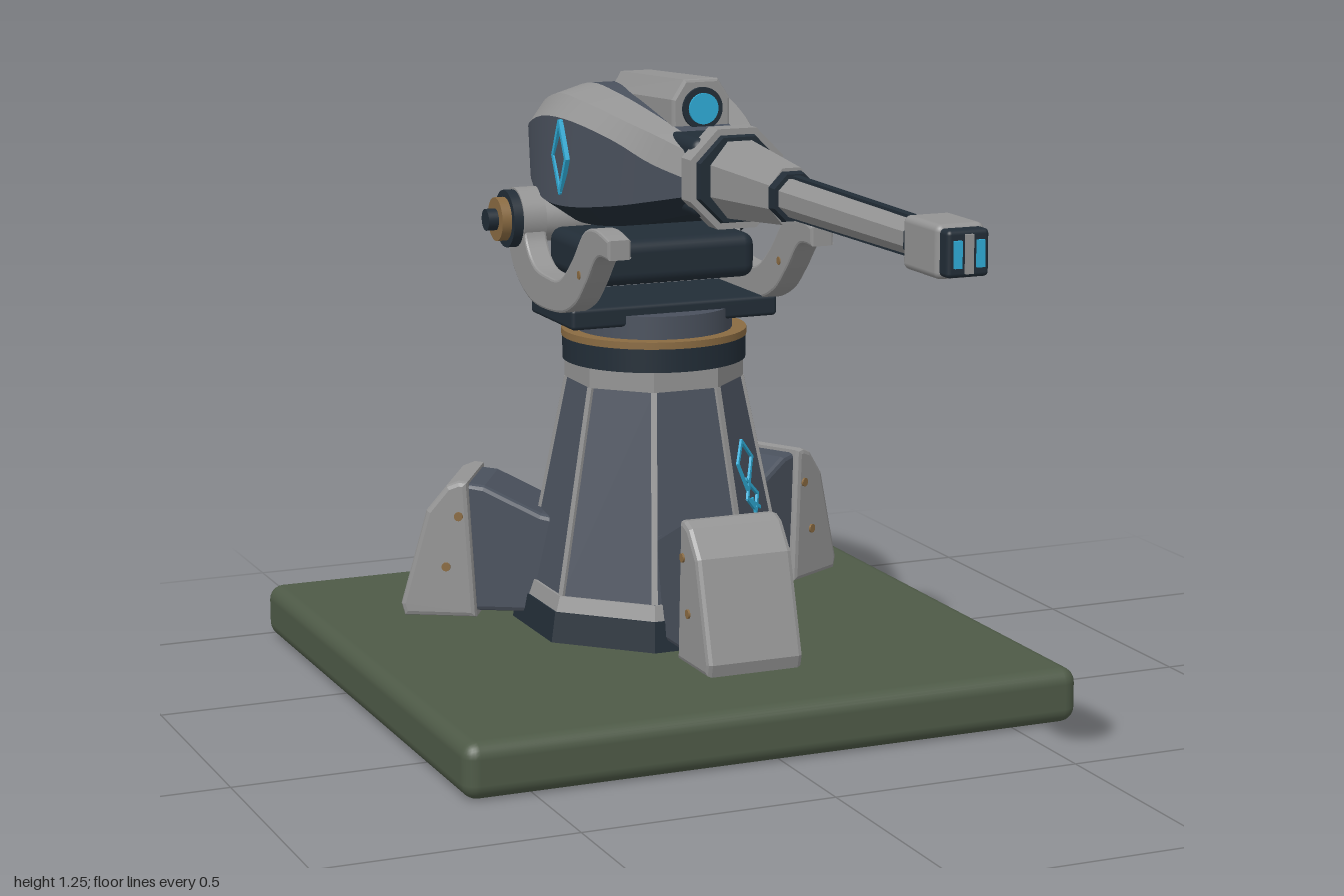
import * as THREE from 'three';
import { mergeGeometries } from 'three/addons/utils/BufferGeometryUtils.js';
import { RoundedBoxGeometry } from 'three/addons/geometries/RoundedBoxGeometry.js';

const mat = (name, color, side = THREE.FrontSide) => {
  const m = new THREE.MeshStandardMaterial({ color, side });
  m.name = name;
  return m;
};

export function createModel() {
  const root = new THREE.Group();
  root.name = 'turret';
  const grey = mat('light grey armour', 0x949494);
  const slate = mat('slate armour', 0x4a515d);
  const navy = mat('dark navy metal', 0x222d37);
  const gold = mat('bronze', 0x8a6b42);
  const cyan = mat('cyan glow', 0x2fabd6);
  const green = mat('green base', 0x4e5a47);
  const CZ = -0.365; // tower axis
  const BY = 1.083; // barrel axis height

  const add = (name, geo, material, x = 0, y = 0, z = 0, parent = root) => {
    const m = new THREE.Mesh(geo, material);
    m.name = name;
    m.position.set(x, y, z);
    parent.add(m);
    return m;
  };
  const flat = (g) => {
    const f = g.toNonIndexed();
    f.computeVertexNormals();
    return f;
  };
  // octagonal prism with flats on the axes; radii are measured to the flats
  const oct = (top, bottom, h) => {
    const k = 1 / Math.cos(Math.PI / 8);
    return flat(new THREE.CylinderGeometry(top * k, bottom * k, h, 8).rotateY(Math.PI / 8));
  };
  const box = (w, h, d) => new THREE.BoxGeometry(w, h, d);
  const rbox = (w, h, d, r) => new RoundedBoxGeometry(w, h, d, 3, r);
  const cyl = (r, h, n = 32) => new THREE.CylinderGeometry(r, r, h, n);
  const cylX = (r, h) => cyl(r, h).rotateZ(Math.PI / 2);
  const cylZ = (r, h) => cyl(r, h).rotateX(Math.PI / 2);
  // (z, y) outline extruded across x, centred
  const slab = (shape, width, bevel) => new THREE.ExtrudeGeometry(shape, {
    depth: width - 2 * bevel, bevelEnabled: bevel > 0, bevelSize: bevel, bevelThickness: bevel,
    bevelOffset: -bevel, bevelSegments: 2, curveSegments: 40,
  }).translate(0, 0, -width / 2 + bevel).rotateY(-Math.PI / 2);
  const poly = (pts) => new THREE.Shape(pts.map((p) => new THREE.Vector2(...p)));
  // thin bars following a polyline in the xy plane
  const lines = (paths, w, depth) => mergeGeometries(paths.flatMap((p) => p.slice(1).map(([x, y], i) => {
    const [px, py] = p[i];
    return box(Math.hypot(x - px, y - py) + w * 0.6, w, depth)
      .rotateZ(Math.atan2(y - py, x - px)).translate((x + px) / 2, (y + py) / 2, 0);
  })));

  // base slab
  add('baseSlab', rbox(1.27, 0.11, 1.27, 0.03), green, 0, 0.055, CZ);

  // octagonal tower
  add('towerFoot', oct(0.258, 0.268, 0.06), navy, 0, 0.16, CZ);
  add('towerFootTrim', oct(0.246, 0.255, 0.03), grey, 0, 0.205, CZ);
  add('towerBody', oct(0.163, 0.241, 0.41), slate, 0, 0.425, CZ);
  add('towerCollar', oct(0.166, 0.166, 0.042), grey, 0, 0.65, CZ);
  const k8 = 1 / Math.cos(Math.PI / 8);
  for (let i = 0; i < 8; i++) {
    const seam = new THREE.Group();
    seam.name = 'towerSeam';
    seam.position.z = CZ;
    seam.rotation.y = (i + 0.5) * Math.PI / 4;
    root.add(seam);
    const bar = add('seamStrip', box(0.012, 0.417, 0.008), grey, 0, 0.425, 0.202 * k8, seam);
    bar.rotation.x = -Math.atan(0.078 * k8 / 0.41);
  }
  add('bearing', cyl(0.184, 0.05, 48), navy, 0, 0.695, CZ);
  add('bearingRing', cyl(0.186, 0.014, 48), gold, 0, 0.724, CZ);
  add('neck', cyl(0.157, 0.05, 48), slate, 0, 0.752, CZ);

  // glowing rune on two opposite diagonal faces
  const rune = lines([
    [[0, 0.085], [0.038, 0.045], [-0.012, -0.012], [-0.038, 0.045], [0, 0.085]],
    [[0.036, 0.045], [-0.02, -0.03], [0.012, -0.06], [0.034, -0.03], [-0.012, 0.008]],
    [[-0.02, -0.03], [0.034, -0.058]],
    [[0.004, -0.035], [0.018, -0.125]],
  ], 0.007, 0.006);
  for (const a of [Math.PI / 4, Math.PI * 5 / 4]) {
    const g = new THREE.Group();
    g.name = 'towerRune';
    g.position.z = CZ;
    g.rotation.y = a;
    root.add(g);
    add('runeLines', rune, cyan, 0, 0.425, 0.204, g).rotation.x = -Math.atan(0.078 / 0.41);
  }

  // three buttress legs
  const legBody = slab(poly([[0.15, 0.15], [0.36, 0.15], [0.378, 0.415], [0.335, 0.41], [0.22, 0.355], [0.15, 0.34]]), 0.17, 0.01);
  const legCap = slab(poly([[0.352, 0.14], [0.5, 0.14], [0.507, 0.165], [0.452, 0.36], [0.41, 0.412], [0.385, 0.422], [0.367, 0.42]]), 0.2, 0.01);
  for (let i = 0; i < 3; i++) {
    const leg = new THREE.Group();
    leg.name = 'leg';
    leg.position.z = CZ;
    leg.rotation.y = i * Math.PI * 2 / 3;
    root.add(leg);
    add('legBody', legBody, slate, 0, 0, 0, leg);
    add('legCap', legCap, grey, 0, 0, 0, leg);
    for (const s of [-1, 1]) for (const [r, y] of [[0.385, 0.35], [0.412, 0.245]])
      add('legBolt', cylX(0.009, 0.008), gold, s * 0.1, y, r, leg);
  }

  // yoke with curved side arms and pivots
  add('yokePlate', rbox(0.44, 0.042, 0.23, 0.008), navy, 0, 0.776, CZ);
  add('yokeBlock', rbox(0.35, 0.09, 0.25, 0.025), navy, 0, 0.88, -0.375);
  add('yokeCrossbar', cylX(0.045, 0.38), grey, 0, 0.935, -0.53);
  const arm = new THREE.Shape();
  const start = [-0.02, 0.93];
  arm.moveTo(...start);
  const curve = (pts) => arm.splineThru(pts.map((p) => new THREE.Vector2(...p)));
  curve([[-0.08, 0.925], [-0.14, 0.865], [-0.2, 0.815], [-0.29, 0.786], [-0.44, 0.786], [-0.54, 0.84], [-0.585, 0.93]]);
  arm.lineTo(-0.48, 0.96);
  curve([[-0.465, 0.9], [-0.42, 0.86], [-0.35, 0.85], [-0.28, 0.855], [-0.215, 0.9], [-0.15, 0.965], [-0.09, 0.98], [-0.02, 0.968]]);
  const armGeo = slab(arm, 0.048, 0.005);
  for (const s of [-1, 1]) {
    const side = new THREE.Group();
    side.name = s > 0 ? 'leftYokeArm' : 'rightYokeArm';
    root.add(side);
    add('arm', armGeo, grey, s * 0.211, 0, 0, side);
    add('armEye', cylX(0.062, 0.048), grey, s * 0.211, 0.94, -0.53, side);
    add('armBolt', cylX(0.008, 0.052), gold, s * 0.211, 0.88, -0.17, side);
    add('pivotFlange', cylX(0.058, 0.02), navy, s * 0.245, 0.94, -0.53, side);
    add('pivotRing', cylX(0.044, 0.022), gold, s * 0.264, 0.94, -0.53, side);
    add('pivotPin', cylX(0.022, 0.024), navy, s * 0.284, 0.94, -0.53, side);
  }

  // gun head: edge rows (x list, y list) along shared stations, from top centre to bottom centre
  const zs = [0.02, -0.1, -0.2, -0.35, -0.47, -0.6, -0.69, -0.725];
  const topY = [1.135, 1.16, 1.18, 1.205, 1.213, 1.18, 1.125, 1.08];
  const lowY = [1.02, 0.99, 0.965, 0.945, 0.945, 0.985, 1.02, 1.035];
  const none = zs.map(() => 0);
  const rows = [
    [none, topY],
    [[0.04, 0.055, 0.065, 0.08, 0.088, 0.088, 0.07, 0.05], topY],
    [[0.07, 0.1, 0.125, 0.15, 0.157, 0.145, 0.11, 0.075], [1.125, 1.15, 1.168, 1.19, 1.195, 1.16, 1.11, 1.07]],
    [[0.085, 0.118, 0.148, 0.183, 0.192, 0.175, 0.135, 0.1], [1.08, 1.1, 1.13, 1.155, 1.152, 1.12, 1.085, 1.06]],
    [[0.085, 0.118, 0.15, 0.188, 0.194, 0.172, 0.13, 0.095], [1.05, 1.025, 1.005, 0.985, 0.985, 1.01, 1.035, 1.045]],
    [[0.05, 0.08, 0.105, 0.13, 0.135, 0.125, 0.1, 0.07], lowY],
    [none, lowY],
  ].map(([xs, ys]) => new THREE.CatmullRomCurve3(zs.map((z, i) => new THREE.Vector3(xs[i], ys[i], z))));
  const strip = (a, b, t0, t1) => mergeGeometries([1, -1].map((s) => {
    const n = 24, pos = [], idx = [];
    for (let i = 0; i <= n; i++) {
      const t = t0 + (t1 - t0) * i / n;
      for (const row of [a, b]) {
        const p = rows[row].getPoint(t);
        pos.push(p.x * s, p.y, p.z);
      }
      if (i < n) {
        const q = i * 2;
        idx.push(...(s > 0 ? [q, q + 1, q + 3, q, q + 3, q + 2] : [q, q + 3, q + 1, q, q + 2, q + 3]));
      }
    }
    const g = new THREE.BufferGeometry();
    g.setAttribute('position', new THREE.Float32BufferAttribute(pos, 3));
    g.setIndex(idx);
    g.computeVertexNormals();
    return g;
  }));
  const cut = 5 / 7;
  add('headTop', strip(0, 1, 0, 1), slate);
  add('headStripe', mergeGeometries([strip(1, 2, 0, cut), strip(2, 3, 0, cut)]), grey);
  add('headRear', mergeGeometries([strip(1, 2, cut, 1), strip(2, 3, cut, 1)]), slate);
  add('headSide', strip(3, 4, 0, 1), slate);
  add('headBelly', mergeGeometries([strip(4, 5, 0, 1), strip(5, 6, 0, 1)]), navy);
  const ends = rows.map((r) => r.getPoint(1));
  const ring = [...ends.map((p) => [p.x, p.y]), ...ends.slice(1, -1).reverse().map((p) => [-p.x, p.y])];
  add('headTail', new THREE.ShapeGeometry(poly(ring.reverse())).rotateY(Math.PI), slate, 0, 0, -0.725);
  const diamond = lines([[[0, 0.07], [0.035, 0], [0, -0.07], [-0.035, 0], [0, 0.07]]], 0.009, 0.009).rotateY(Math.PI / 2);
  for (const s of [-1, 1]) add('headDiamond', diamond, cyan, s * 0.191, 1.08, -0.38);

  // sight housing on top
  const sight = new THREE.Group();
  sight.name = 'sight';
  root.add(sight);
  const hull = poly([[-0.06, 1.14], [0.06, 1.14], [0.06, 1.215], [0.035, 1.253], [-0.035, 1.253], [-0.06, 1.215]]);
  const hullGeo = new THREE.ExtrudeGeometry(hull, { depth: 0.33, bevelSize: 0.006, bevelThickness: 0.006, bevelOffset: -0.006, bevelSegments: 2 });
  const hp = hullGeo.attributes.position; // lower and narrow the rear
  for (let i = 0; i < hp.count; i++) {
    const t = 1 - hp.getZ(i) / 0.33;
    hp.setXY(i, hp.getX(i) * (1 - 0.1 * t), hp.getY(i) - 0.018 * t);
  }
  hullGeo.computeVertexNormals();
  add('sightHousing', hullGeo, grey, 0, 0, -0.455, sight);
  add('sightRim', cylZ(0.041, 0.012), navy, 0, 1.197, -0.118, sight);
  add('sightLens', cylZ(0.03, 0.008), cyan, 0, 1.197, -0.111, sight);

  // barrel assembly
  const gun = new THREE.Group();
  gun.name = 'barrel';
  gun.position.y = BY;
  root.add(gun);
  const octZ = (front, back, z0, z1, sx = 1) =>
    oct(front, back, z1 - z0).rotateX(Math.PI / 2).scale(sx, 1, 1).translate(0, 0, (z0 + z1) / 2);
  add('breech', rbox(0.16, 0.15, 0.2, 0.02), navy, 0, 0, -0.07, gun);
  add('mantletRing', octZ(0.095, 0.095, 0.005, 0.05), grey, 0, 0, 0, gun);
  add('mantletFace', octZ(0.08, 0.083, 0.05, 0.062), navy, 0, 0, 0, gun);
  add('barrelSleeve', octZ(0.052, 0.073, 0.06, 0.295, 0.82), grey, 0, 0, 0, gun);
  add('barrelCollar', octZ(0.043, 0.046, 0.295, 0.315), navy, 0, 0, 0, gun);
  add('barrelTube', octZ(0.03, 0.035, 0.31, 0.84), grey, 0, 0, 0, gun);
  for (const s of [-1, 1])
    add('barrelRail', box(0.016, 0.008, 0.52), navy, 0, s * 0.034, 0.575, gun).rotation.x = s * 0.009;
  add('muzzleNeck', octZ(0.036, 0.036, 0.825, 0.84), navy, 0, 0, 0, gun);
  add('muzzle', rbox(0.09, 0.092, 0.13, 0.012), grey, 0, 0, 0.903, gun);
  add('muzzleTip', rbox(0.078, 0.08, 0.04, 0.008), navy, 0, 0, 0.974, gun);
  add('muzzleDivider', box(0.014, 0.066, 0.008), grey, 0, 0, 0.996, gun);
  for (const s of [-1, 1]) add('muzzleLight', box(0.014, 0.046, 0.008), cyan, s * 0.021, 0, 0.996, gun);

  return root;
}
